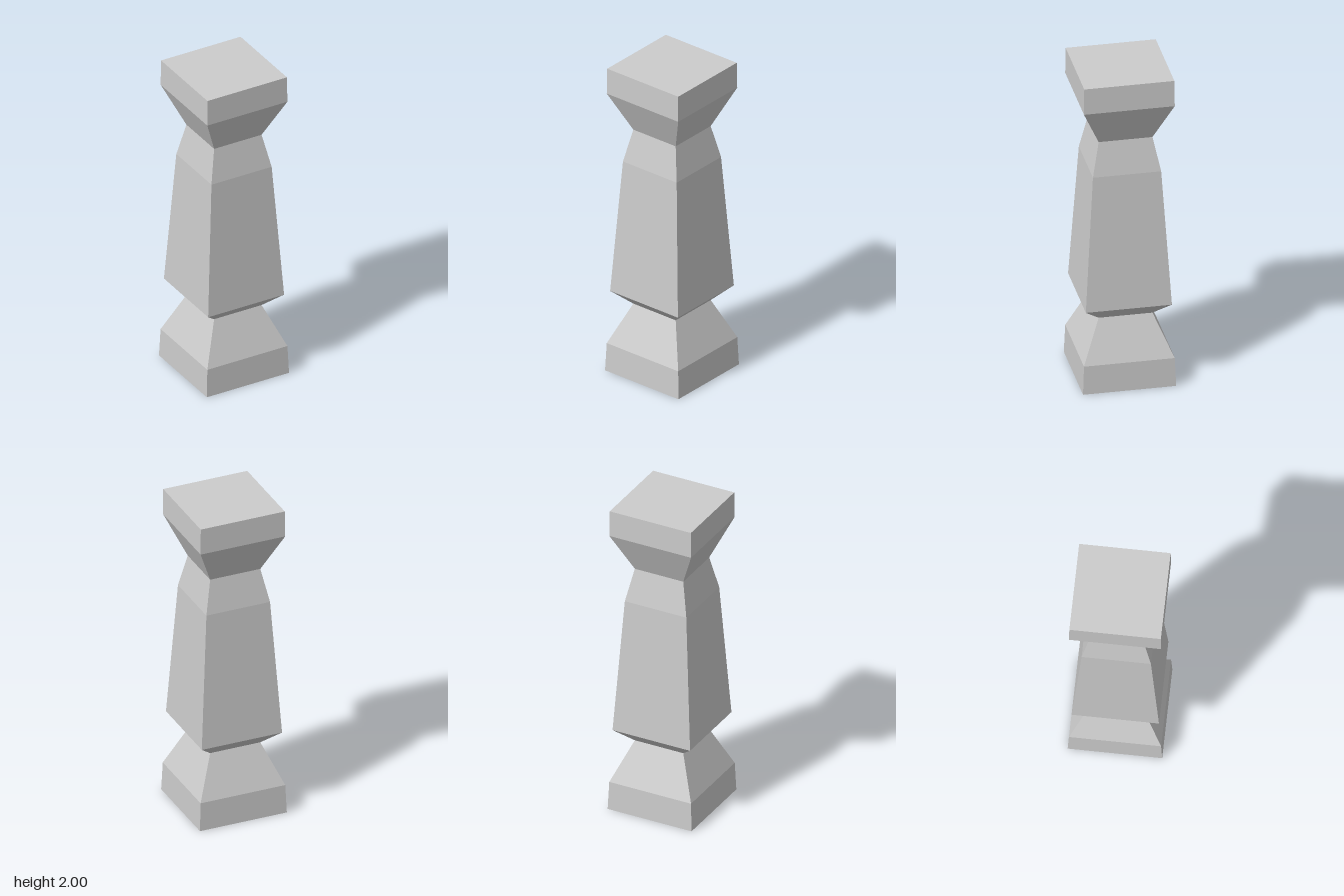
import * as THREE from 'three';

const material = new THREE.MeshStandardMaterial({ color: 0xcccccc, flatShading: true });

// Square section swept up a profile of [half width, height] points
function squareTurned(name, profile) {
  const points = profile.map(([half, y]) => new THREE.Vector2(half * Math.SQRT2, y));
  const mesh = new THREE.Mesh(new THREE.LatheGeometry(points, 4, Math.PI / 4), material);
  mesh.name = name;
  return mesh;
}

export function createModel() {
  const group = new THREE.Group();
  group.name = 'baluster';
  const neck = 0.16, lowNeckY = 0.434, highNeckY = 1.588;

  group.add(
    // Plinth narrowing to the lower neck, closed underneath
    squareTurned('base', [[0, 0], [0.277, 0], [0.27, 0.18], [neck, lowNeckY]]),
    // Flared foot, long taper and sloping shoulder
    squareTurned('shaft', [[neck, lowNeckY], [0.256, 0.525], [0.203, 1.38], [neck, highNeckY]]),
    // Flare up to the square top block
    squareTurned('capital', [[neck, highNeckY], [0.27, 1.835], [0.268, 2], [0, 2]]),
  );
  return group;
}
